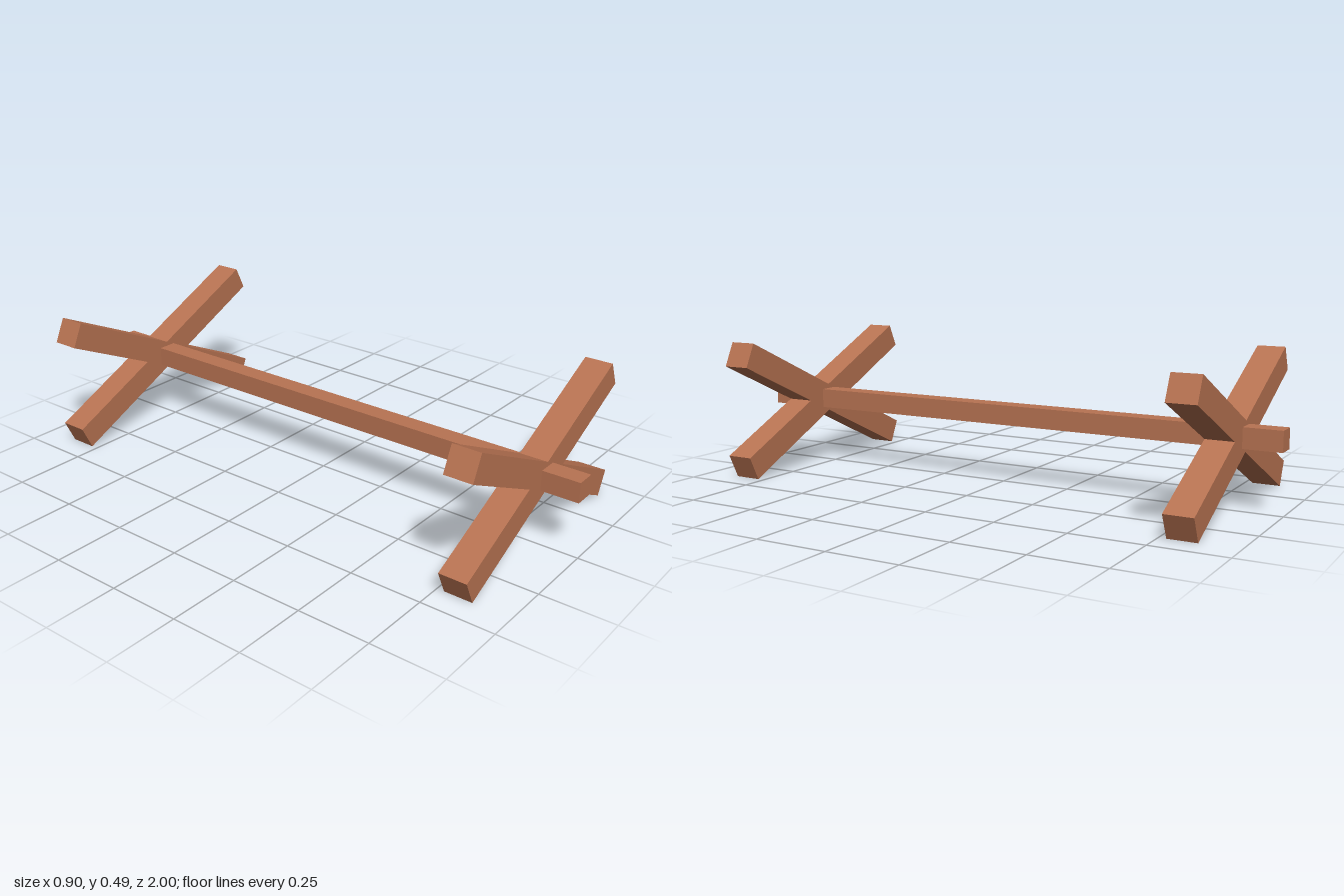
import * as THREE from 'three';

export function createModel() {
  const model = new THREE.Group();
  model.name = 'crossLegStand';

  const wood = new THREE.MeshStandardMaterial({ color: 0xb87352 });
  wood.name = 'warm brown wood';

  const axisY = 0.2435; // height where the beams cross
  const tilt = THREE.MathUtils.degToRad(25.2);

  function addBeam(parent, name, w, h, d) {
    const beam = new THREE.Mesh(new THREE.BoxGeometry(w, h, d), wood);
    beam.name = name;
    parent.add(beam);
    return beam;
  }

  // Long square bar joining both crosses
  addBeam(model, 'crossBar', 0.069, 0.069, 2).position.y = axisY;

  // An X of two crossed beams near each end
  for (const [end, side] of [['front', 1], ['back', -1]]) {
    const cross = new THREE.Group();
    cross.name = end + 'Cross';
    cross.position.set(0, axisY, side * 0.823);
    addBeam(cross, end + 'RisingBeam', 0.947, 0.091, 0.097).rotation.z = tilt;
    addBeam(cross, end + 'FallingBeam', 0.947, 0.091, 0.097).rotation.z = -tilt;
    model.add(cross);
  }

  return model;
}
